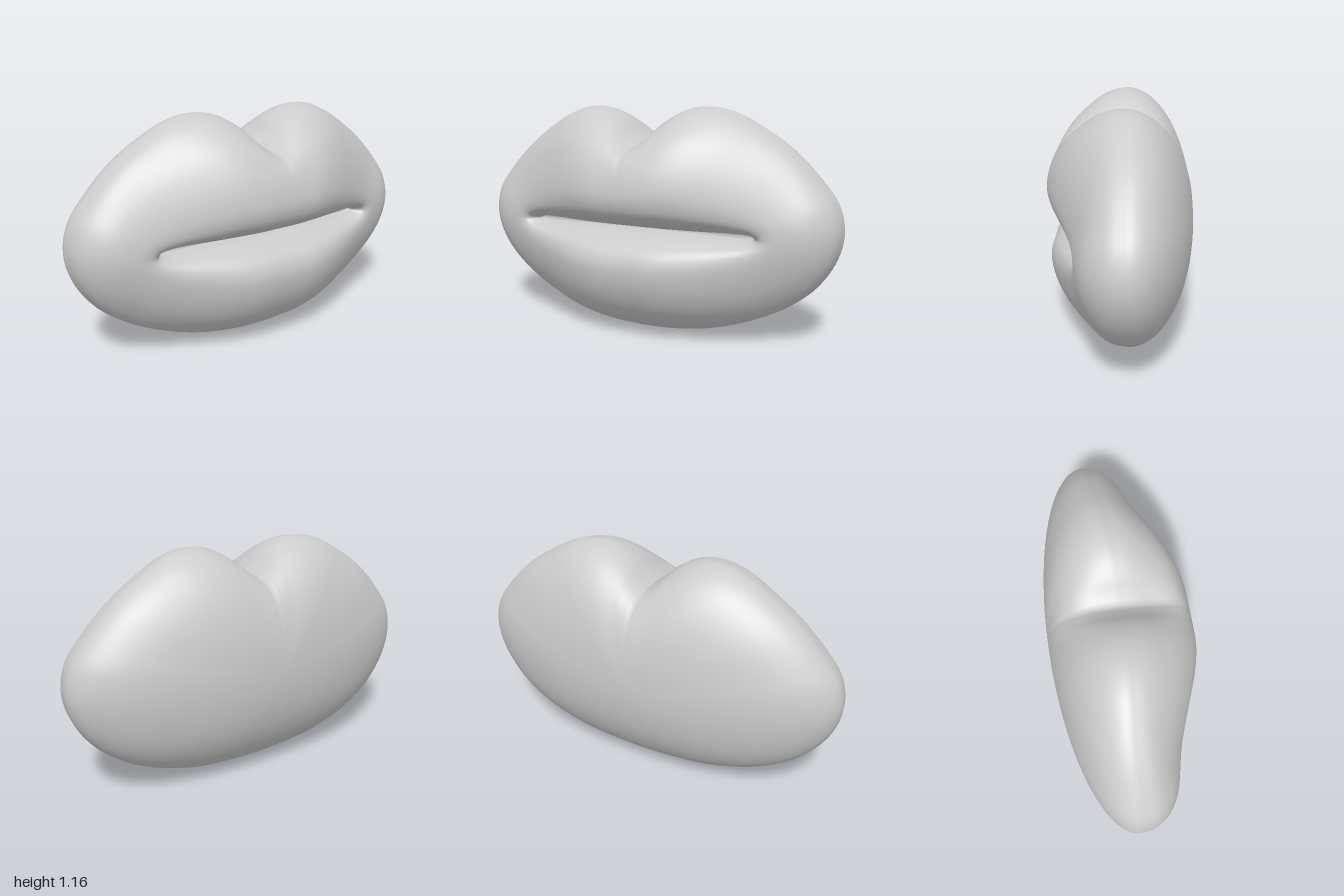
import * as THREE from 'three';
import { mergeVertices } from 'three/addons/utils/BufferGeometryUtils.js';

const MID = 0.553; // height of the mouth line
const HALF = 90; // samples along half of the outline
const smooth = THREE.MathUtils.smoothstep;
const lerp = THREE.MathUtils.lerp;

// Half of the outline, from the notch over the peak and corner to the bottom
const outlineCurve = new THREE.CatmullRomCurve3([
  [0, 1.0], [0.05, 1.035], [0.12, 1.1], [0.21, 1.147], [0.32, 1.164], [0.45, 1.14],
  [0.6, 1.063], [0.75, 0.96], [0.89, 0.82], [0.97, 0.71], [1.0, 0.58], [0.97, 0.44],
  [0.88, 0.3], [0.75, 0.19], [0.6, 0.11], [0.4, 0.042], [0.2, 0.01], [0, 0],
].map(([x, y]) => new THREE.Vector3(x, y, 0)));

// Front profile from outline to slit: fraction, depth on the lip, depth at the corner
const profile = new THREE.CatmullRomCurve3([
  [0, 0, -0.05], [0.03, 0.08, 0.02], [0.1, 0.16, 0.07], [0.25, 0.265, 0.125],
  [0.42, 0.33, 0.16], [0.6, 0.365, 0.18], [0.75, 0.368, 0.185], [0.87, 0.335, 0.175],
  [0.95, 0.26, 0.15], [1, 0.17, 0.125],
].map((p) => new THREE.Vector3(...p)));

// Closed ring of outline points, clockwise seen from the front
function outlineRing() {
  const half = outlineCurve.getSpacedPoints(HALF);
  half[0].x = half[HALF].x = 0;
  const left = half.slice(1, -1).reverse().map((p) => new THREE.Vector3(-p.x, p.y, 0));
  const cornerIndex = half.reduce((best, p, i) => (p.x > half[best].x ? i : best), 0);
  const ring = [...half, ...left];
  ring.forEach((p, i) => {
    const k = i <= HALF ? i : 2 * HALF - i;
    p.upper = k < cornerIndex;
    // outline height with the notch filled in, used away from the rim
    p.filled = p.upper ? p.y + 0.13 * Math.exp(-((p.x / 0.11) ** 2)) : p.y;
  });
  return ring;
}

// Edge of the narrow mouth opening that belongs to an outline point
function slitPoint(p) {
  const x = Math.min(1, Math.abs(p.x));
  const h = (0.012 + 0.02 * x ** 4) * Math.sqrt(1 - x ** 6);
  return [0.62 * p.x, MID + (p.upper ? h : -h)];
}

function frontPoint(p, t) {
  const s = profile.getPoint(t);
  const [sx, sy] = slitPoint(p);
  const x = lerp(p.x, sx, s.x);
  const y = lerp(lerp(p.y, p.filled, smooth(s.x, 0, 0.5)), sy, s.x);
  const lip = s.y * (p.upper ? 1 : 0.965);
  return [x, y, lerp(lip, s.z, smooth(Math.abs(x), 0.1, 0.8))];
}

function backPoint(p, t) {
  const a = t * Math.PI / 2;
  const c = t === 1 ? 0 : Math.cos(a);
  const rim = frontPoint(p, 0)[2];
  const y = lerp(p.y, p.filled, smooth(t, 0, 0.8));
  return [p.x * c, MID + (y - MID) * c, lerp(rim, -0.37, Math.sin(a))];
}

function lipsGeometry() {
  const ring = outlineRing();
  const n = ring.length;
  const rows = [];
  // floor of the slit and its walls
  rows.push(ring.map((p) => [0.62 * p.x, MID, 0.1]));
  rows.push(ring.map((p) => [...slitPoint(p), 0.1]));
  // lips, from the slit out to the rim
  const F = 48;
  for (let j = F; j >= 0; j--) rows.push(ring.map((p) => frontPoint(p, j / F)));
  // domed back
  const B = 32;
  for (let j = 1; j <= B; j++) rows.push(ring.map((p) => backPoint(p, j / B)));

  const index = [];
  for (let j = 0; j < rows.length - 1; j++) {
    for (let i = 0; i < n; i++) {
      const k = (i + 1) % n;
      const a = j * n + i, b = j * n + k, c = a + n, d = b + n;
      index.push(a, b, d, a, d, c);
    }
  }
  let g = new THREE.BufferGeometry();
  g.setAttribute('position', new THREE.Float32BufferAttribute(rows.flat(2), 3));
  g.setIndex(index);
  g = mergeVertices(g, 1e-5);
  g.computeVertexNormals();
  return g;
}

export function createModel() {
  const group = new THREE.Group();
  group.name = 'mouth';
  const lips = new THREE.Mesh(lipsGeometry(), new THREE.MeshStandardMaterial({ color: 0xcccccc }));
  lips.name = 'lips';
  group.add(lips);
  return group;
}
